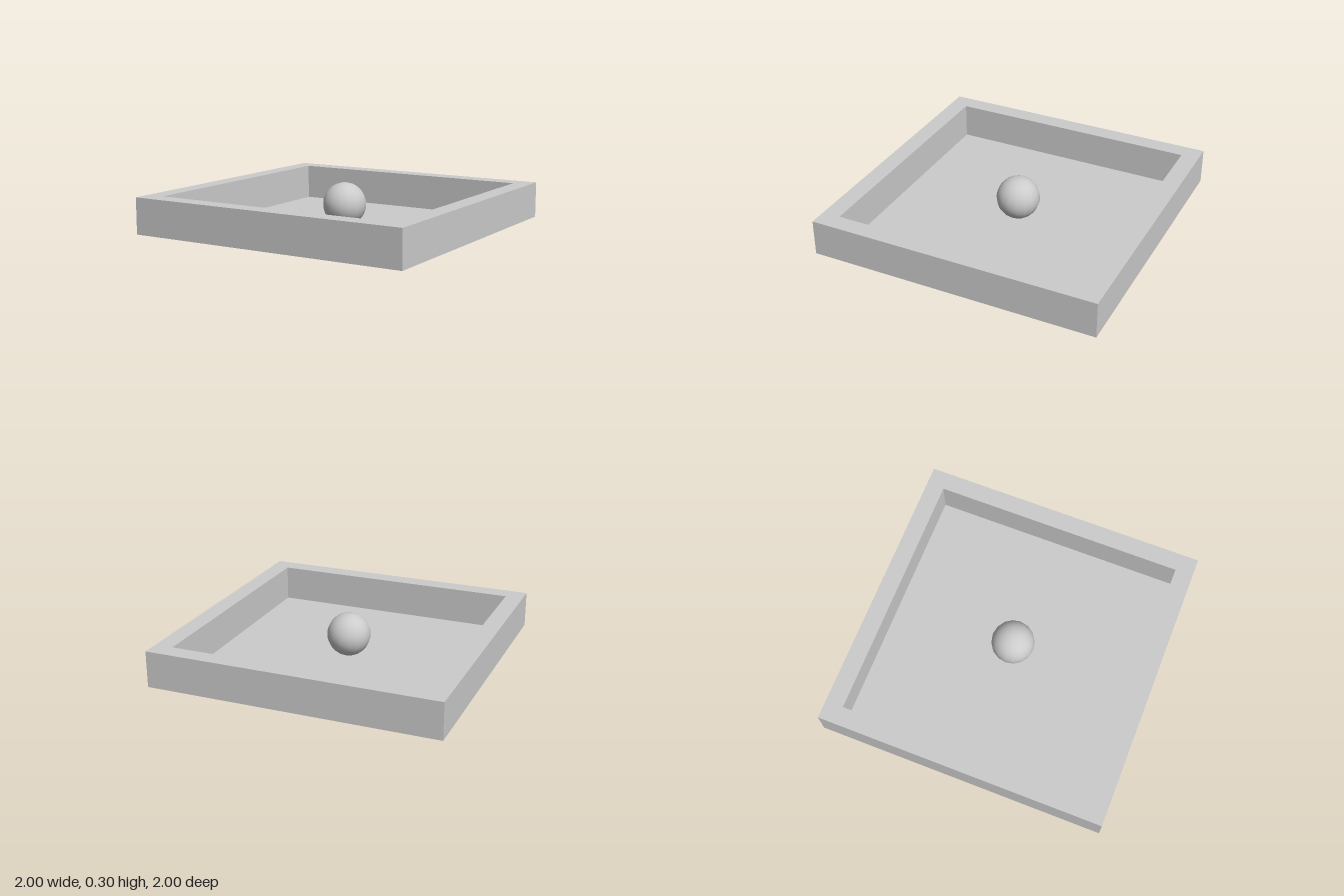
import * as THREE from 'three';

const OUTER = 2, INNER = 1.75, WALL_HEIGHT = 0.25, BALL_RADIUS = 0.15;

// Traces a centred square onto a Shape or Path
function square(path, size) {
  const h = size / 2;
  path.moveTo(-h, -h);
  path.lineTo(h, -h);
  path.lineTo(h, h);
  path.lineTo(-h, h);
  path.closePath();
  return path;
}

export function createModel() {
  const group = new THREE.Group();
  group.name = 'ballInTray';
  const material = new THREE.MeshStandardMaterial({ color: 0xcccccc });
  const thinMaterial = new THREE.MeshStandardMaterial({ color: 0xcccccc, side: THREE.DoubleSide });

  const add = (name, geometry, mat = material) => {
    const mesh = new THREE.Mesh(geometry, mat);
    mesh.name = name;
    group.add(mesh);
    return mesh;
  };

  // Square rim: four walls as one extruded frame
  const frame = square(new THREE.Shape(), OUTER);
  frame.holes.push(square(new THREE.Path(), INNER));
  const walls = new THREE.ExtrudeGeometry(frame, { depth: WALL_HEIGHT, bevelEnabled: false });
  add('trayWalls', walls.rotateX(-Math.PI / 2));

  // Thin floor closing the frame
  add('trayFloor', new THREE.PlaneGeometry(INNER, INNER).rotateX(-Math.PI / 2), thinMaterial);

  // Ball resting on the middle of the floor
  add('ball', new THREE.SphereGeometry(BALL_RADIUS, 16, 16)).position.y = BALL_RADIUS;

  return group;
}
